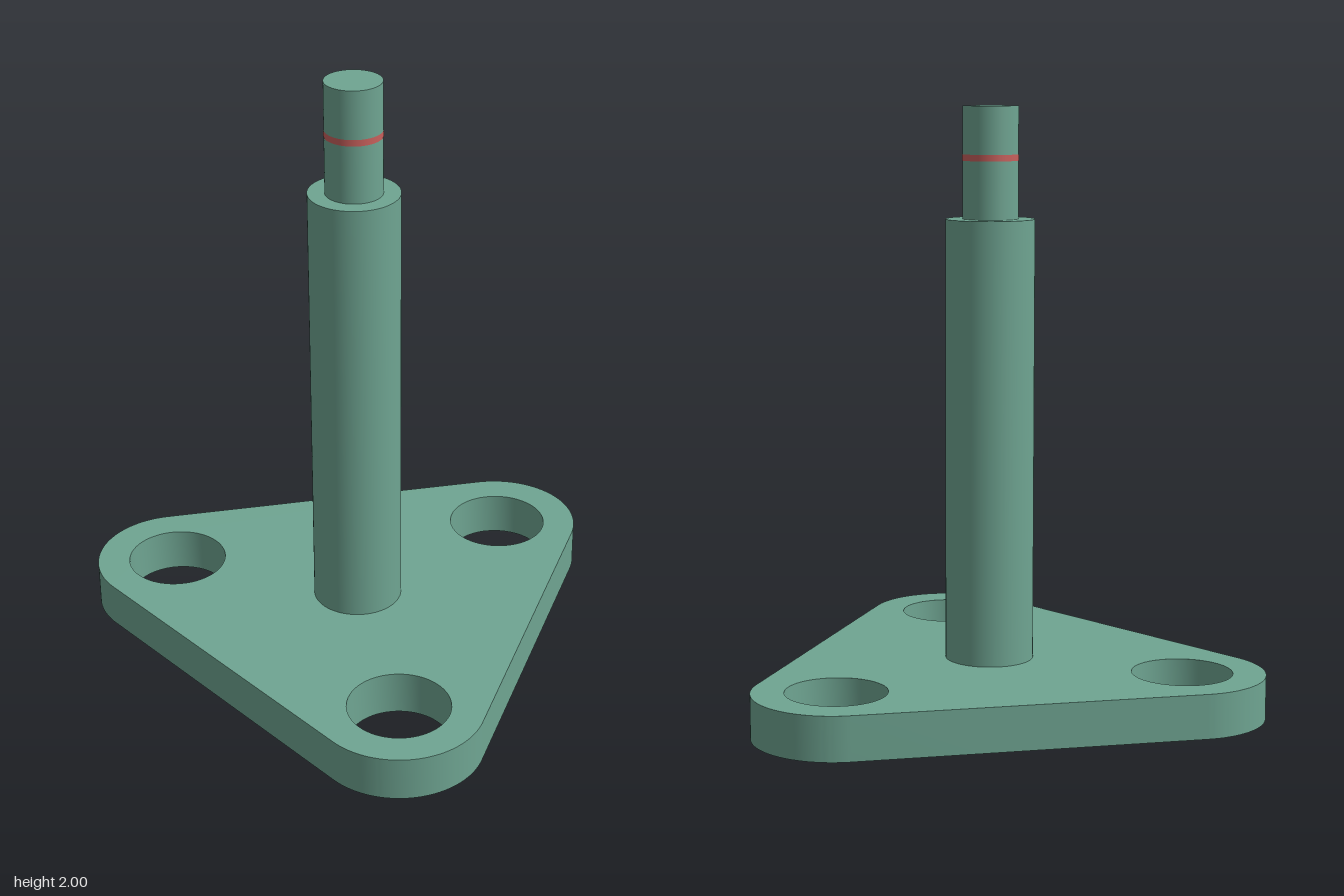
import * as THREE from 'three';
import { toCreasedNormals } from 'three/addons/utils/BufferGeometryUtils.js';

const AXIS_X = -0.167; // post axis, also the centroid of the base

export function createModel() {
  const green = new THREE.MeshStandardMaterial({ name: 'sage green', color: 0x6fa592 });
  const red = new THREE.MeshStandardMaterial({ name: 'marker red', color: 0xc8605c });
  const model = new THREE.Group();
  model.name = 'postOnTriangularBase';

  // Rounded triangular base plate with a hole in each corner
  const outline = new THREE.Shape();
  for (let i = 0; i < 3; i++) {
    const a = (i * Math.PI * 2) / 3;
    const x = AXIS_X + 0.667 * Math.cos(a);
    const y = 0.667 * Math.sin(a);
    outline.absarc(x, y, 0.276, a - Math.PI / 3, a + Math.PI / 3, false);
    const hole = new THREE.Path();
    hole.absarc(x, y, 0.167, 0, Math.PI * 2, true);
    outline.holes.push(hole);
  }
  outline.closePath();
  const plate = new THREE.ExtrudeGeometry(outline, { depth: 0.148, bevelEnabled: false, curveSegments: 32 });
  plate.rotateX(-Math.PI / 2);
  const base = new THREE.Mesh(toCreasedNormals(plate, Math.PI / 6), green);
  base.name = 'basePlate';
  model.add(base);

  // Round parts stacked on the post axis
  const addRound = (name, radius, y0, y1, material, open = false) => {
    const mesh = new THREE.Mesh(new THREE.CylinderGeometry(radius, radius, y1 - y0, 64, 1, open), material);
    mesh.name = name;
    mesh.position.set(AXIS_X, (y0 + y1) / 2, 0);
    model.add(mesh);
  };
  addRound('post', 0.148, 0.14, 1.63, green);
  addRound('pin', 0.0925, 1.62, 2, green);
  addRound('markerBand', 0.0935, 1.821, 1.842, red, true);

  return model;
}
